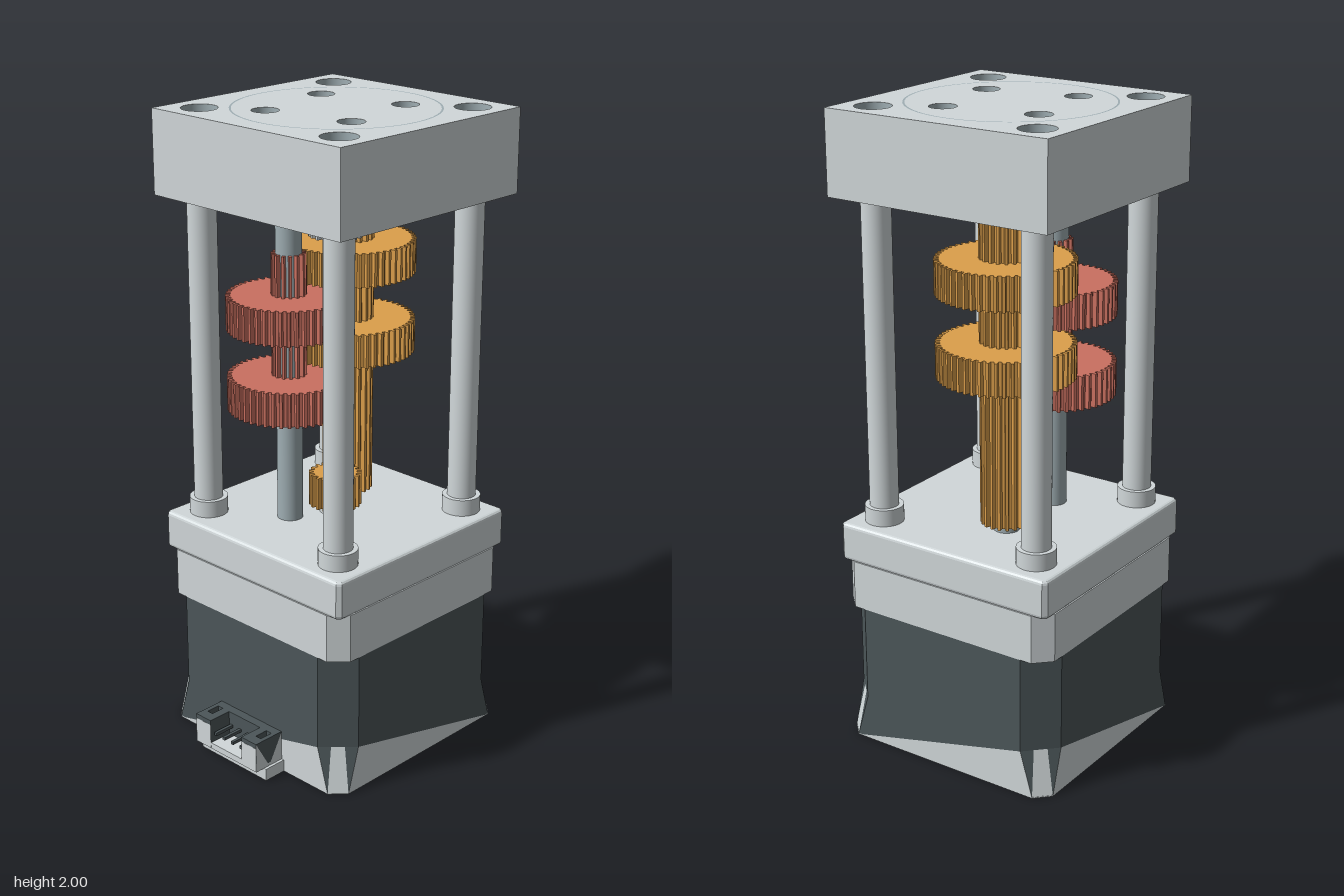
import * as THREE from 'three';

const paint = (name, color, side = THREE.FrontSide) => {
  const m = new THREE.MeshStandardMaterial({ color, side });
  m.name = name;
  return m;
};

export function createModel() {
  // Aluminium and steel also line open bores, so both sides show
  const aluminium = paint('aluminium', 0xd1d8da, THREE.DoubleSide);
  const steel = paint('steel', 0xa0afb4, THREE.DoubleSide);
  const black = paint('darkPlastic', 0x4c5659);
  const brass = paint('brass', 0xdc9f4b);
  const copper = paint('copper', 0xca7060);

  const root = new THREE.Group();
  const CX = 0.053, HALF = 0.379, BOLT = 0.281;
  const bolts = [[-1, -1], [1, -1], [1, 1], [-1, 1]].map(([a, b]) => [a * BOLT, b * BOLT]);

  // Everything in the square column is placed relative to its own axis.
  const column = new THREE.Group();
  column.name = 'gearmotor';
  column.position.x = CX;
  root.add(column);

  function add(name, geo, mat, x = 0, y = 0, z = 0, parent = column) {
    const mesh = new THREE.Mesh(geo, mat);
    mesh.name = name;
    mesh.position.set(x, y, z);
    parent.add(mesh);
    return mesh;
  }
  function rod(name, r, y0, y1, x, z, mat, open = false) {
    return add(name, new THREE.CylinderGeometry(r, r, y1 - y0, 40, 1, open), mat, x, (y0 + y1) / 2, z);
  }
  function box(name, x0, x1, y0, y1, z0, z1, mat) {
    return add(name, new THREE.BoxGeometry(x1 - x0, y1 - y0, z1 - z0), mat,
      (x0 + x1) / 2, (y0 + y1) / 2, (z0 + z1) / 2, root);
  }
  function ring(name, r0, r1, x, y, z, mat, up = 1) {
    return add(name, new THREE.RingGeometry(r0, r1, 64).rotateX(-up * Math.PI / 2), mat, x, y, z);
  }
  // Flat triangles from a list of corners, three per face.
  function triangles(name, corners, mat, parent = column) {
    const geo = new THREE.BufferGeometry();
    geo.setAttribute('position', new THREE.Float32BufferAttribute(corners.flat(), 3));
    geo.computeVertexNormals();
    return add(name, geo, mat, 0, 0, 0, parent);
  }

  // Octagon outline: a square with chamfered corners, as [x, z].
  function octagon(c, h = HALF) {
    const k = h - c;
    return [[-k, h], [k, h], [h, k], [h, -k], [k, -h], [-k, -h], [-h, -k], [-h, k]];
  }
  // Horizontal plate with round holes [x, z, r].
  function plate(name, pts, y0, y1, holes, mat, bevel = 0) {
    const shape = new THREE.Shape(pts.map(([x, z]) => new THREE.Vector2(x, -z)));
    for (const [x, z, r] of holes) shape.holes.push(new THREE.Path().absarc(x, -z, r, 0, Math.PI * 2, true));
    const geo = new THREE.ExtrudeGeometry(shape, {
      depth: y1 - y0 - 2 * bevel, curveSegments: 32, bevelEnabled: bevel > 0,
      bevelSize: bevel, bevelThickness: bevel, bevelSegments: 3
    });
    return add(name, geo.rotateX(-Math.PI / 2), mat, 0, y0 + bevel, 0);
  }
  const boltHoles = (r) => bolts.map(([x, z]) => [x, z, r]);
  const square = (h) => [[-h, h], [h, h], [h, -h], [-h, -h]];

  // Output block with counterbores, blind mounting holes and a round groove
  const mounts = [[0.117, -0.175], [-0.173, -0.118], [0.173, 0.115], [-0.116, 0.17]];
  plate('outputBlockLower', square(HALF), 1.742, 1.89, boltHoles(0.03), aluminium);
  plate('outputBlockUpper', square(HALF), 1.89, 2,
    [...boltHoles(0.055), ...mounts.map(([x, z]) => [x, z, 0.041])], aluminium);
  for (const [x, z] of mounts) {
    rod('mountHoleWall', 0.0405, 1.892, 1.999, x, z, steel, true);
    ring('mountHoleFloor', 0.0001, 0.041, x, 1.892, z, steel);
  }
  ring('outputGroove', 0.306, 0.312, 0, 2.0005, 0, steel);

  // Hollow posts with collars, and the bolt bores running through
  for (const [x, z] of bolts) {
    rod('post', 0.045, 0.72, 1.745, x, z, aluminium, true);
    rod('postCollar', 0.06, 0.72, 0.778, x, z, aluminium, true);
    ring('collarTop', 0.044, 0.06, x, 0.778, z, aluminium);
    rod('boltBore', 0.0295, 0.05, 1.892, x, z, steel, true);
    rod('counterboreWall', 0.0545, 1.892, 1.999, x, z, steel, true);
    ring('counterboreFloor', 0.029, 0.055, x, 1.892, z, steel);
    rod('baseHoleWall', 0.0415, 0.001, 0.05, x, z, aluminium, true);
    ring('baseHoleFloor', 0.029, 0.042, x, 0.05, z, aluminium, -1);
  }

  // Gearbox base flange and motor housing
  plate('baseFlange', octagon(0.006, HALF - 0.012), 0.603, 0.725, boltHoles(0.042), aluminium, 0.012);
  plate('motorUpperCap', octagon(0.05), 0.453, 0.606, boltHoles(0.03), aluminium);
  plate('motorBody', octagon(0.088), 0.147, 0.453, boltHoles(0.03), black);
  plate('motorBottom', octagon(0.045), 0, 0.004, [...boltHoles(0.042), [0, 0, 0.057]], aluminium);
  rod('bottomBoreWall', 0.0565, 0.001, 0.1, 0, 0, aluminium, true);
  ring('bottomBoreFloor', 0.0001, 0.057, 0, 0.1, 0, steel, -1);

  // Motor lower skirt: sides split diagonally, corners light with dark slivers
  const light = [], dark = [];
  const low = octagon(0.045).map(([x, z]) => [x, 0, z]);
  const high = octagon(0.088).map(([x, z]) => [x, 0.147, z]);
  const mix = (p, q, t) => p.map((v, k) => v + (q[k] - v) * t);
  for (let i = 0; i < 8; i++) {
    const j = (i + 1) % 8, a = low[i], b = low[j], A = high[i], B = high[j];
    if (i % 2) {
      const L = mix(A, B, 0.33), R = mix(A, B, 0.67);
      dark.push(a, L, A, b, B, R);
      light.push(a, b, R, a, R, L);
    } else if (i % 4 === 0) {
      dark.push(b, B, A);
      light.push(a, b, A);
    } else {
      dark.push(a, B, A);
      light.push(a, b, B);
    }
  }
  triangles('skirtLight', light, aluminium);
  triangles('skirtDark', dark, black);

  // Cable socket on the right side: base, shell, contact pins and pale facets
  box('socketBase', -0.403, -0.32, 0, 0.04, -0.145, 0.145, aluminium);
  box('socketFloor', -0.434, -0.325, 0.038, 0.058, -0.134, 0.134, aluminium);
  box('socketBack', -0.355, -0.322, 0.04, 0.137, -0.135, 0.135, black);
  for (const s of [-1, 1]) {
    const edge = (name, x0, x1, y0, y1, z0, z1, mat) =>
      box(name, x0, x1, y0, y1, Math.min(s * z0, s * z1), Math.max(s * z0, s * z1), mat);
    edge('socketInnerWall', -0.435, -0.35, 0.05, 0.137, 0.07, 0.098, black);
    edge('socketOuterWall', -0.435, -0.35, 0.05, 0.137, 0.12, 0.135, black);
    edge('socketFrontWall', -0.435, -0.4, 0.05, 0.137, 0.098, 0.12, black);
    edge('socketEndFace', -0.4355, -0.434, 0.04, 0.122, 0.07, 0.135, aluminium);
    const z = s * 0.1358;
    triangles('socketSideFacets', [
      [-0.435, 0.137, z], [-0.435, 0.04, z], [-0.38, 0.04, z],
      [-0.325, 0.137, z], [-0.38, 0.04, z], [-0.325, 0.04, z]
    ], aluminium, root);
  }
  for (let i = 0; i < 4; i++) {
    const z = -0.058 + i * 0.038;
    box('contactPin', -0.426, -0.35, 0.085, 0.095, z - 0.005, z + 0.005, black);
  }

  // Spur gears with trapezoid teeth
  function gear(name, r, teeth, y0, y1, [x, z], mat) {
    const rootR = r - 0.015, step = Math.PI * 2 / teeth, pts = [];
    for (let i = 0; i < teeth; i++) {
      for (const [f, rad] of [[-0.3, rootR], [-0.17, r], [0.17, r], [0.3, rootR]]) {
        const t = (i + f) * step;
        pts.push(new THREE.Vector2(Math.cos(t) * rad, Math.sin(t) * rad));
      }
    }
    const geo = new THREE.ExtrudeGeometry(new THREE.Shape(pts), { depth: y1 - y0, bevelEnabled: false });
    add(name, geo.rotateX(-Math.PI / 2), mat, x, y0, z);
  }
  const center = [0, 0], brassAxis = [0.125, -0.067], copperAxis = [-0.133, -0.067];
  gear('inputPinion', 0.083, 20, 0.75, 0.855, center, brass);
  gear('brassLongPinion', 0.08, 20, 0.75, 1.22, brassAxis, brass);
  gear('brassMiddlePinion', 0.08, 20, 1.322, 1.452, brassAxis, brass);
  gear('brassTopPinion', 0.08, 20, 1.576, 1.722, brassAxis, brass);
  for (const y of [1.218, 1.471]) gear('brassWheel', 0.209, 54, y, y + 0.105, brassAxis, brass);
  for (const y of [1.09, 1.343]) {
    gear('copperWheel', 0.19, 48, y, y + 0.107, copperAxis, copper);
    gear('copperPinion', 0.054, 14, y + 0.107, y + 0.235, copperAxis, copper);
  }
  gear('outputGear', 0.083, 20, 1.618, 1.722, center, aluminium);

  // Shafts and the output bearing seat
  rod('inputShaft', 0.038, 0.72, 1.032, ...center, steel);
  rod('inputBoss', 0.05, 0.72, 0.745, ...center, aluminium);
  rod('brassShaft', 0.04, 0.72, 1.745, ...brassAxis, steel);
  rod('copperShaft', 0.04, 0.72, 1.745, ...copperAxis, steel);
  rod('outputShaft', 0.04, 1.61, 1.745, ...center, steel);
  rod('outputBearing', 0.08, 1.73, 1.745, ...center, aluminium);

  return root;
}
